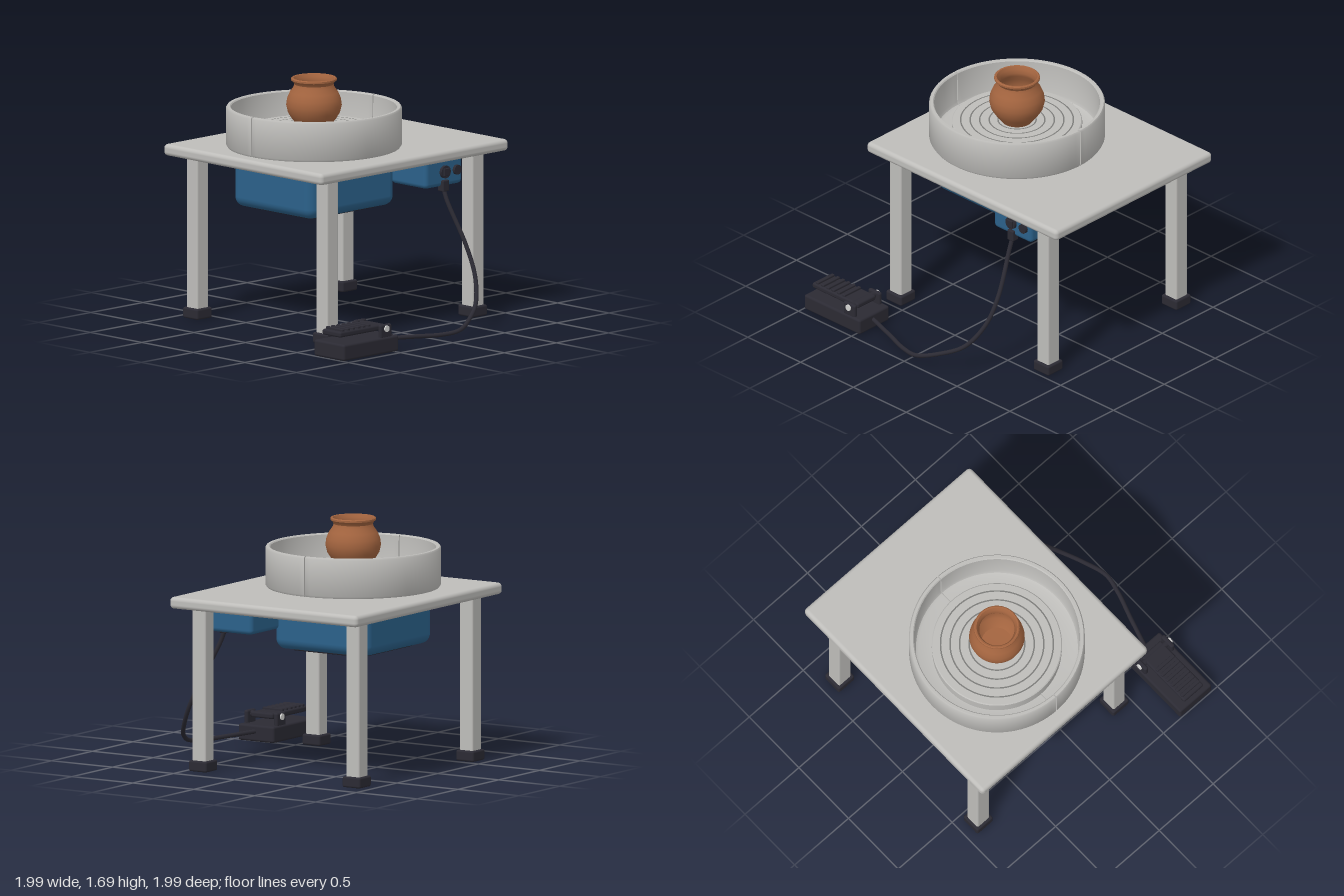
import * as THREE from 'three';
import { toCreasedNormals } from 'three/addons/utils/BufferGeometryUtils.js';
import { RoundedBoxGeometry } from 'three/addons/geometries/RoundedBoxGeometry.js';

const material = (name, color, side = THREE.FrontSide) => {
  const m = new THREE.MeshStandardMaterial({ color, side });
  m.name = name;
  return m;
};

export function createModel() {
  const root = new THREE.Group();
  root.name = 'potteryWheel';
  const grey = material('lightGrey', 0xbebdba, THREE.DoubleSide);
  const groove = material('grooveGrey', 0x7c7c7a);
  const blue = material('motorBlue', 0x2b618a);
  const dark = material('darkRubber', 0x2b2a33);
  const clay = material('clay', 0xa3643f, THREE.DoubleSide);
  const steel = material('steel', 0xd4d4d2);

  const add = (name, geometry, mat, x = 0, y = 0, z = 0, parent = root) => {
    const mesh = new THREE.Mesh(geometry, mat);
    mesh.name = name;
    mesh.position.set(x, y, z);
    parent.add(mesh);
    return mesh;
  };
  // Rounded box given by its min and max corners
  const block = (name, mat, [x0, y0, z0], [x1, y1, z1], r = 0.01, parent = root) =>
    add(name, new RoundedBoxGeometry(x1 - x0, y1 - y0, z1 - z0, 4, r), mat,
      (x0 + x1) / 2, (y0 + y1) / 2, (z0 + z1) / 2, parent);
  // Cylinder lying along x
  const rodX = (name, mat, r, length, x, y, z, parent = root) =>
    add(name, new THREE.CylinderGeometry(r, r, length, 32).rotateZ(Math.PI / 2), mat, x, y, z, parent);
  const points = (list) => list.map(([x, y]) => new THREE.Vector2(x, y));

  // Table and legs
  block('tableTop', grey, [-1, 1.135, -0.998], [0.54, 1.215, 0.805], 0.028);
  for (const x of [-0.86, 0.4]) {
    for (const z of [-0.785, 0.61]) {
      block('leg', grey, [x - 0.055, 0.04, z - 0.055], [x + 0.055, 1.16, z + 0.055], 0.012);
      block('foot', dark, [x - 0.073, 0, z - 0.073], [x + 0.073, 0.075, z + 0.073], 0.014);
    }
  }

  // Wheel assembly, turned about one vertical axis
  const wheel = new THREE.Group();
  wheel.name = 'wheelAssembly';
  wheel.position.set(-0.23, 0, 0.115);
  root.add(wheel);

  // Splash pan: two halves with a narrow seam at front and back
  const panProfile = points([
    [0.43, 1.212], [0.588, 1.212], [0.6, 1.23], [0.6, 1.48], [0.592, 1.492], [0.573, 1.492],
    [0.566, 1.484], [0.562, 1.27], [0.553, 1.25], [0.535, 1.24], [0.43, 1.24], [0.43, 1.212],
  ]);
  const gap = 0.007;
  for (const start of [0, Math.PI]) {
    const half = new THREE.LatheGeometry(panProfile, 48, start + gap, Math.PI - 2 * gap);
    add('splashPanHalf', toCreasedNormals(half, 0.6), grey, 0, 0, 0, wheel);
    for (const phi of [start + gap, start + Math.PI - gap]) {
      const cap = add('panSeamFace', new THREE.ShapeGeometry(new THREE.Shape(panProfile)), grey, 0, 0, 0, wheel);
      cap.rotation.y = phi - Math.PI / 2;
    }
  }

  // Wheel head with concentric grooves
  const headProfile = points([[0.001, 1.2], [0.44, 1.2], [0.445, 1.31], [0.445, 1.338], [0.438, 1.345], [0, 1.345]]);
  add('wheelHead', toCreasedNormals(new THREE.LatheGeometry(headProfile, 96), 0.6), grey, 0, 0, 0, wheel);
  for (const r of [0.13, 0.19, 0.255, 0.32, 0.385]) {
    const ring = new THREE.RingGeometry(r - 0.005, r + 0.005, 96).rotateX(-Math.PI / 2);
    add('headGroove', ring, groove, 0, 1.347, 0, wheel);
  }

  // Clay pot, outer wall up then inner wall down
  const potProfile = points([
    [0, 1.346], [0.105, 1.346], [0.118, 1.365], [0.15, 1.405], [0.178, 1.45], [0.19, 1.5], [0.184, 1.545],
    [0.165, 1.59], [0.14, 1.625], [0.134, 1.645], [0.143, 1.662], [0.156, 1.672], [0.156, 1.684], [0.149, 1.69],
    [0.139, 1.688], [0.128, 1.668], [0.12, 1.64], [0.127, 1.615], [0.155, 1.575], [0.172, 1.51], [0.155, 1.44],
    [0.105, 1.385], [0, 1.38],
  ]);
  add('pot', toCreasedNormals(new THREE.LatheGeometry(potProfile, 48), 0.7), clay, 0, 0, 0, wheel);

  // Motor housing, control box and base plate under the table
  block('motorHousing', blue, [-0.615, 0.8, -0.3], [0.155, 1.165, 0.53], 0.07);
  block('motorBasePlate', dark, [-0.515, 0.783, -0.195], [0.055, 0.82, 0.425], 0.01);
  block('controlBox', blue, [0.09, 0.943, -0.655], [0.435, 1.15, -0.3], 0.03);

  // Switch, socket and plug on the control box
  rodX('socketRing', dark, 0.044, 0.03, 0.44, 1.045, -0.477);
  block('socketKey', dark, [0.43, 1.018, -0.504], [0.466, 1.072, -0.45], 0.005);
  rodX('speedKnob', dark, 0.034, 0.03, 0.44, 1.045, -0.592);
  block('plug', dark, [0.4, 0.91, -0.506], [0.456, 0.988, -0.448], 0.008);

  // Cord from plug to pedal
  const cordPath = new THREE.CatmullRomCurve3([
    [0.428, 0.93, -0.477], [0.46, 0.85, -0.478], [0.61, 0.55, -0.515], [0.715, 0.36, -0.495],
    [0.82, 0.2, -0.4], [0.91, 0.12, -0.25], [0.972, 0.07, -0.09], [0.95, 0.057, 0.05],
    [0.885, 0.062, 0.25], [0.81, 0.07, 0.49],
  ].map((p) => new THREE.Vector3(...p)));
  add('cord', new THREE.TubeGeometry(cordPath, 100, 0.015, 12), dark);

  // Foot pedal, hinged near its back end
  const pedal = new THREE.Group();
  pedal.name = 'footPedal';
  pedal.position.x = 0.805;
  root.add(pedal);
  block('pedalBase', dark, [-0.147, 0, 0.468], [0.147, 0.113, 0.996], 0.016, pedal);
  block('treadle', dark, [-0.09, 0.152, 0.54], [0.09, 0.192, 0.975], 0.014, pedal);
  for (let i = 0; i < 6; i++) {
    const z = 0.685 + i * 0.05;
    block('treadleRib', dark, [-0.082, 0.185, z - 0.013], [0.082, 0.207, z + 0.013], 0.006, pedal);
  }
  rodX('hingeRod', dark, 0.022, 0.25, 0, 0.172, 0.58, pedal);
  for (const side of [-1, 1]) {
    const x = side * 0.122;
    block('hingeBracket', dark, [x - 0.016, 0.1, 0.525], [x + 0.016, 0.2, 0.635], 0.014, pedal);
    rodX('hingePin', steel, 0.022, 0.016, side * 0.14, 0.17, 0.58, pedal);
  }

  return root;
}
